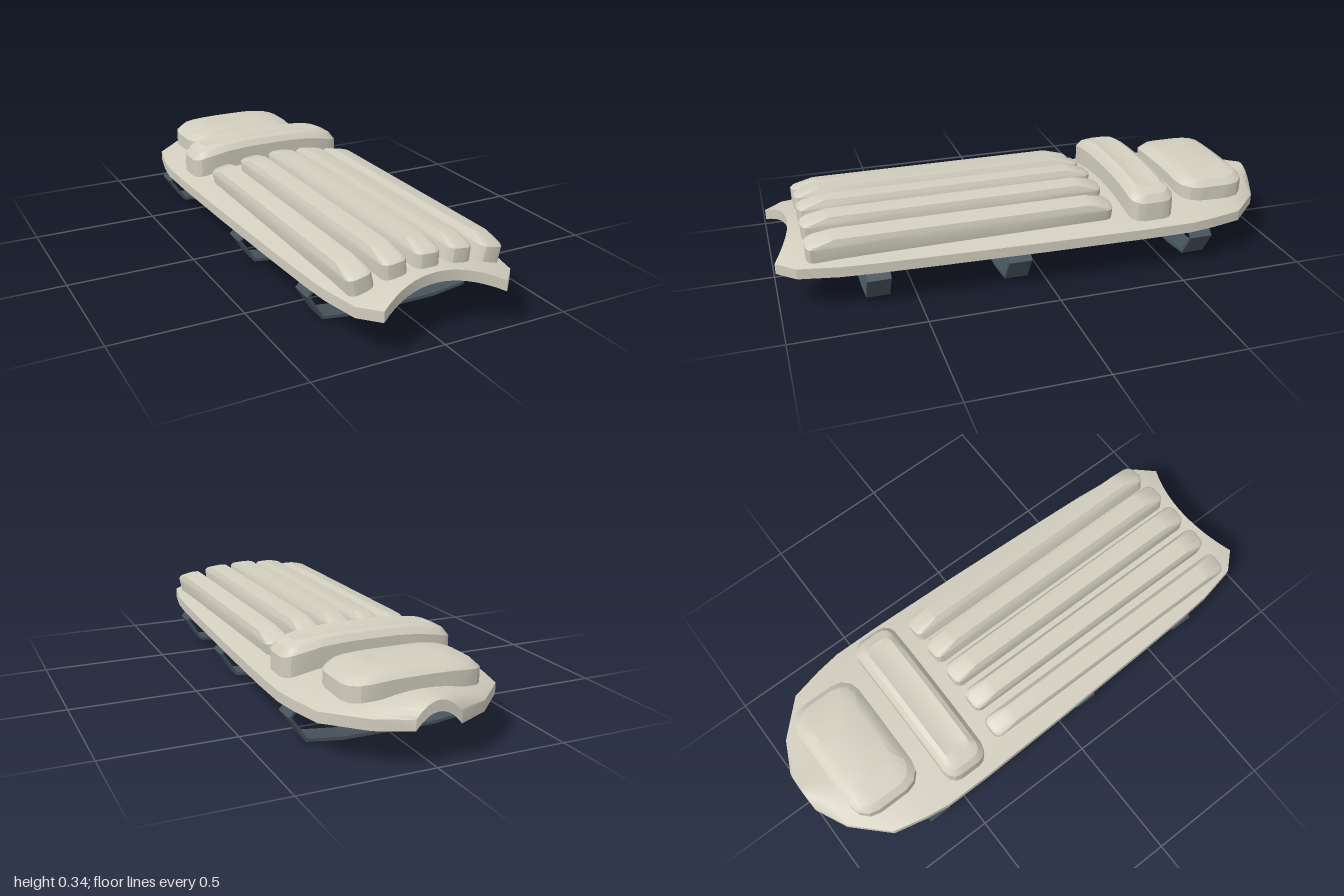
import * as THREE from 'three';
import { toCreasedNormals } from 'three/addons/utils/BufferGeometryUtils.js';

const mat = (name, color) => {
  const m = new THREE.MeshStandardMaterial({ color });
  m.name = name;
  return m;
};

// Skin a surface over equal-length rows of [x, y, z] points
function skin(rows, crease = 0.5) {
  const n = rows[0].length, index = [];
  for (let i = 0; i < rows.length - 1; i++) {
    for (let j = 0; j < n - 1; j++) {
      const a = i * n + j, b = a + n;
      index.push(a, b, a + 1, b, b + 1, a + 1);
    }
  }
  const g = new THREE.BufferGeometry();
  g.setAttribute('position', new THREE.Float32BufferAttribute(rows.flat(2), 3));
  g.setIndex(index);
  return toCreasedNormals(g, crease);
}

// Closed rounded rectangle with subdivided straight edges, as [x, z] points
function roundedRing(hx, hz, radius) {
  const r = Math.max(0, Math.min(radius, hx, hz)), arc = [], out = [];
  for (let q = 0; q < 4; q++) {
    const sx = q === 0 || q === 3 ? 1 : -1, sz = q < 2 ? 1 : -1;
    for (let k = 0; k <= 3; k++) {
      const t = (q + k / 3) * Math.PI / 2;
      arc.push([sx * (hx - r) + r * Math.cos(t), sz * (hz - r) + r * Math.sin(t)]);
    }
  }
  arc.forEach((p, i) => {
    const next = arc[(i + 1) % arc.length], steps = i % 4 === 3 ? 6 : 1;
    for (let s = 0; s < steps; s++) {
      out.push([p[0] + (next[0] - p[0]) * s / steps, p[1] + (next[1] - p[1]) * s / steps]);
    }
  });
  out.push(out[0]);
  return out;
}

// Padded cushion: levels are [inset x, inset z, height]; bend drops the sides
function cushion(hx, hz, radius, levels, bend = 0) {
  return skin(levels.map(([ix, iz, y]) =>
    roundedRing(hx - ix, hz - iz, radius - Math.min(ix, iz) * 0.5)
      .map(([x, z]) => [x, y - bend * Math.abs(x) ** 3, z])), 0.45);
}

export function createModel() {
  const group = new THREE.Group();
  const canvas = mat('cream canvas', 0xd2cebf);
  const liningMat = mat('grey lining', 0x646f6d);
  const strapMat = mat('slate strap', 0x46535c);
  const add = (name, geometry, material) => {
    const mesh = new THREE.Mesh(geometry, material);
    mesh.name = name;
    group.add(mesh);
    return mesh;
  };

  // Arched backing: stations of [z, half width, scallop depth]
  const stations = [
    [-1, 0.085, 0], [-0.94, 0.21, 0], [-0.81, 0.34, 0], [-0.68, 0.37, 0],
    [-0.58, 0.385, 0], [-0.4, 0.385, 0], [0, 0.374, 0], [0.4, 0.358, 0],
    [0.65, 0.346, 0], [0.78, 0.335, 0.01], [0.93, 0.305, 0.045], [1, 0.24, 0.07],
  ];
  const us = Array.from({ length: 17 }, (_, i) => i / 8 - 1);
  const section = (lift) => stations.map(([z, w, scallop]) => us.map((u) => {
    const arch = 1 - u * u;
    return [u * w, lift + 0.055 * arch, z - scallop * arch];
  }));
  const top = section(0.18), bottom = section(0.14);
  const last = stations.length - 1;
  add('backingCover', skin(top.map((row, i) => [bottom[i][0], ...row, bottom[i][16]])), canvas);
  add('frontEdge', skin(us.map((_, j) => [bottom[last][j], top[last][j]])), canvas);
  add('backEdge', skin(us.map((_, j) => [bottom[0][16 - j], top[0][16 - j]])), canvas);
  add('lining', skin(bottom.map((row) => [...row].reverse())), liningMat);

  // Five long shin ribs, tilted to follow the arch
  const ribGeometry = cushion(0.0475, 0.588, 0.03, [
    [0, 0, -0.015], [0, 0, 0.05], [0.004, 0.012, 0.06],
    [0.013, 0.08, 0.078], [0.0475, 0.1, 0.08],
  ]);
  for (let i = -2; i <= 2; i++) {
    const x = i * 0.125;
    const rib = add('shinRib', ribGeometry, canvas);
    rib.position.set(x, 0.235 - 0.48 * x * x, 0.303);
    rib.rotation.z = -0.85 * x;
  }

  // Cross roll below the knee
  add('crossRoll', cushion(0.338, 0.09, 0.05, [
    [0, 0, 0.228], [0, 0, 0.305], [0.02, 0.018, 0.328],
    [0.06, 0.038, 0.337], [0.09, 0.09, 0.328],
  ], 1), canvas).position.z = -0.44;

  // Knee cushion
  add('kneeCushion', cushion(0.257, 0.143, 0.08, [
    [0, 0, 0.222], [0, 0, 0.28], [0.025, 0.022, 0.3],
    [0.09, 0.05, 0.31], [0.14, 0.143, 0.303],
  ], 1), canvas).position.z = -0.743;

  // Three angular straps looping under the pad
  const outer = [[0.345, 0.15], [0.384, 0.113], [0.32, 0.017], [0.18, 0.0]];
  const inner = [[0.333, 0.15], [0.372, 0.113], [0.313, 0.027], [0.175, 0.012]];
  const mirrored = (pts) => pts.map(([x, y]) => [-x, y]).reverse();
  const loop = [...outer, ...mirrored(outer), ...[...inner, ...mirrored(inner)].reverse()];
  const strapShape = new THREE.Shape(loop.map(([x, y]) => new THREE.Vector2(x, y)));
  const strapGeometry = new THREE.ExtrudeGeometry(strapShape, { depth: 0.09, bevelEnabled: false });
  strapGeometry.translate(0, 0, -0.045);
  for (const [z, scale] of [[-0.627, 1], [0.115, 0.968], [0.645, 0.917]]) {
    const strap = add('strap', strapGeometry, strapMat);
    strap.position.z = z;
    strap.scale.x = scale;
  }
  return group;
}
